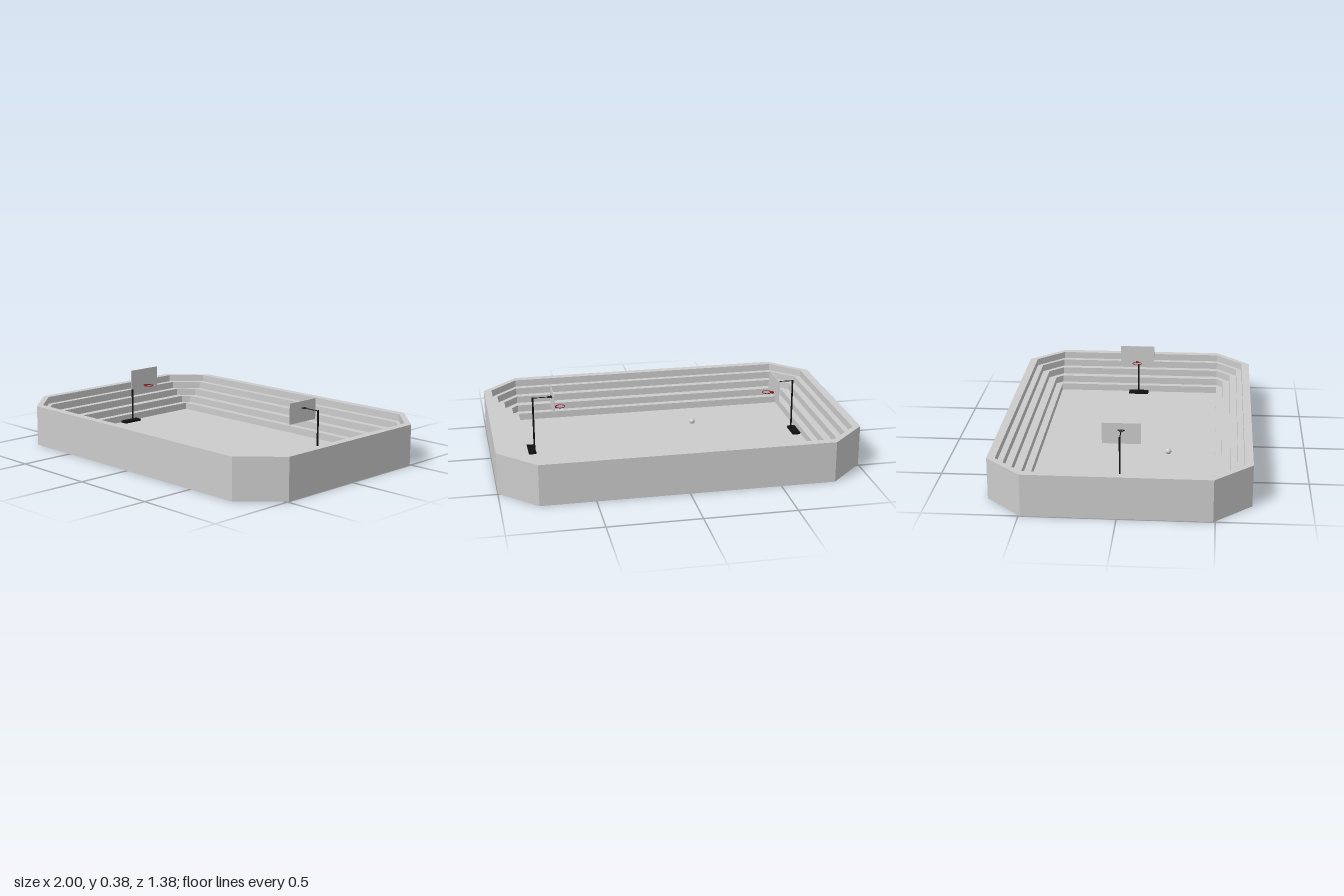
import * as THREE from 'three';

const material = (color) => new THREE.MeshStandardMaterial({ color });
const grey = new THREE.MeshStandardMaterial({ color: 0xcccccc, flatShading: true });
const smoothGrey = material(0xcccccc);
const black = material(0x111111);
const red = material(0x99182a);

function add(parent, name, geometry, mat, x = 0, y = 0, z = 0) {
  const mesh = new THREE.Mesh(geometry, mat);
  mesh.name = name;
  mesh.position.set(x, y, z);
  parent.add(mesh);
  return mesh;
}

// Thin round bar between two points
function bar(parent, name, from, to, radius, mat) {
  const a = new THREE.Vector3(...from), b = new THREE.Vector3(...to);
  const dir = b.clone().sub(a);
  const mesh = add(parent, name, new THREE.CylinderGeometry(radius, radius, dir.length(), 8), mat);
  mesh.position.copy(a).add(b).multiplyScalar(0.5);
  mesh.quaternion.setFromUnitVectors(new THREE.Vector3(0, 1, 0), dir.normalize());
}

// Octagon: the court rectangle pushed outwards by d, with cut corners
const HX = 0.8, HZ = 0.49;
function octagon(d, y) {
  const ring = [];
  for (const [sx, sz] of [[1, 1], [-1, 1], [-1, -1], [1, -1]]) {
    const side = [sx * (HX + d), y, sz * HZ], end = [sx * HX, y, sz * (HZ + d)];
    ring.push(...(sx * sz > 0 ? [side, end] : [end, side]));
  }
  return ring;
}

// Outer wall, five terraces stepping down, floor and underside in one shell
function arenaGeometry() {
  const offsets = [0.155, 0.122, 0.083, 0.038, 0];
  const floorY = 0.03, step = 0.04, top = 0.23;
  const rings = [Array(8).fill([0, 0, 0]), octagon(0.2, 0), octagon(0.2, top)];
  offsets.forEach((d, i) => {
    rings.push(octagon(d, top - i * step), octagon(d, top - (i + 1) * step));
  });
  rings.push(Array(8).fill([0, floorY, 0]));

  const points = [];
  const same = (p, q) => p.every((v, i) => Math.abs(v - q[i]) < 1e-6);
  const triangle = (a, b, c) => {
    if (!same(a, b) && !same(b, c) && !same(a, c)) points.push(...a, ...b, ...c);
  };
  for (let r = 0; r < rings.length - 1; r++) {
    for (let i = 0; i < 8; i++) {
      const j = (i + 1) % 8, a = rings[r], b = rings[r + 1];
      triangle(a[i], b[i], b[j]);
      triangle(a[i], b[j], a[j]);
    }
  }
  const geometry = new THREE.BufferGeometry();
  geometry.setAttribute('position', new THREE.Float32BufferAttribute(points, 3));
  geometry.computeVertexNormals();
  return geometry;
}

// Hoop stand at the +x end
function createHoop(name) {
  const hoop = new THREE.Group();
  hoop.name = name;
  add(hoop, 'standBase', new THREE.BoxGeometry(0.045, 0.012, 0.12), black, 0.773, 0.036, 0);
  bar(hoop, 'pole', [0.755, 0.03, 0], [0.755, 0.347, 0], 0.005, black);
  bar(hoop, 'arm', [0.755, 0.344, 0], [0.647, 0.344, 0], 0.0025, black);
  // Splayed struts behind the board
  for (const s of [-1, 1]) {
    bar(hoop, 'boardStrut', [0.68, 0.344, 0], [0.648, 0.344, s * 0.018], 0.002, black);
  }
  bar(hoop, 'boardCrossbar', [0.648, 0.344, -0.018], [0.648, 0.344, 0.018], 0.002, black);
  add(hoop, 'backboard', new THREE.BoxGeometry(0.004, 0.115, 0.206), grey, 0.644, 0.324, 0);
  // Rim with its mounting bracket
  add(hoop, 'rimMount', new THREE.BoxGeometry(0.02, 0.006, 0.018), red, 0.633, 0.282, 0);
  const rim = add(hoop, 'rim', new THREE.TorusGeometry(0.026, 0.002, 6, 24), red, 0.601, 0.284, 0);
  rim.rotation.x = Math.PI / 2;
  bar(hoop, 'rimBrace', [0.643, 0.27, 0], [0.624, 0.281, 0], 0.0015, red);
  return hoop;
}

export function createModel() {
  const model = new THREE.Group();
  model.name = 'basketballArena';
  add(model, 'arena', arenaGeometry(), grey);

  const left = createHoop('leftHoop');
  const right = createHoop('rightHoop');
  right.rotation.y = Math.PI;
  model.add(left, right);

  add(model, 'ball', new THREE.SphereGeometry(0.017, 20, 14), smoothGrey, -0.21, 0.047, 0.23);
  return model;
}
